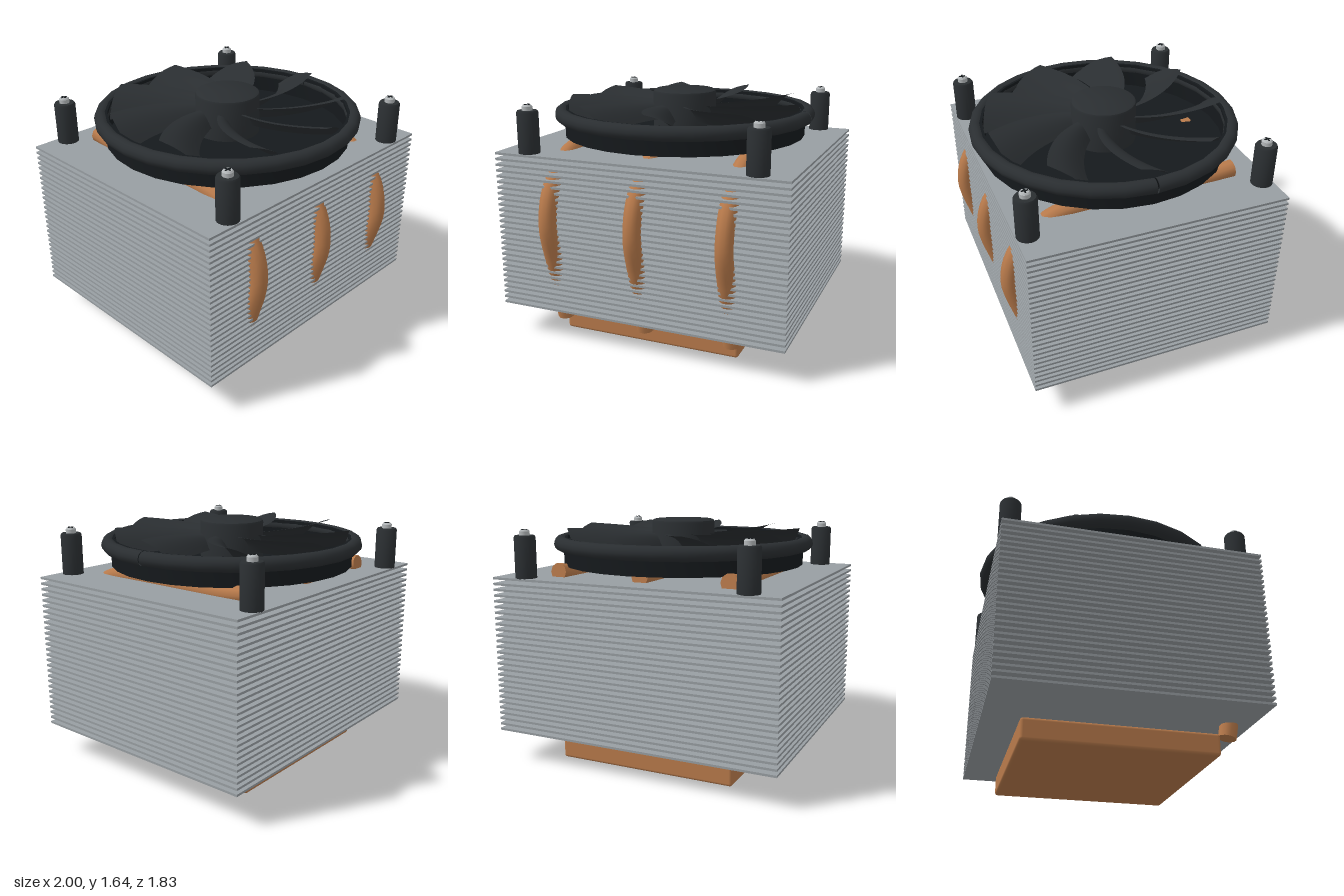
import * as THREE from 'three';
import { RoundedBoxGeometry } from 'three/addons/geometries/RoundedBoxGeometry.js';
import { toCreasedNormals } from 'three/addons/utils/BufferGeometryUtils.js';

const mat = (color) => new THREE.MeshStandardMaterial({ color, side: THREE.DoubleSide });
const copper = mat(0xb87a4b), finGrey = mat(0x989ea2), black = mat(0x2a2e31);
const dark = mat(0x15191c), steel = mat(0xb4b8ba);

const ZC = -0.0125; // shared centre of fins and fan along z

function add(parent, name, geometry, material, x = 0, y = 0, z = 0) {
  const mesh = new THREE.Mesh(geometry, material);
  mesh.name = name;
  mesh.position.set(x, y, z);
  parent.add(mesh);
  return mesh;
}

function lathe(points, segments) {
  const g = new THREE.LatheGeometry(points.map(([r, y]) => new THREE.Vector2(r, y)), segments);
  return toCreasedNormals(g, 0.6);
}

// Swept, pitched and slightly cambered blade as a grid of radius by chord
function bladeGeometry(nr = 12, nc = 6) {
  const pos = [], index = [], rad = Math.PI / 180;
  for (let i = 0; i <= nr; i++) {
    const t = i / nr;
    const r = 0.2 + 0.605 * t;
    const mid = 61 + 24 * t, width = 28 - 12 * t + 5.5 * t * t;
    for (let j = 0; j <= nc; j++) {
      const s = j / nc; // 0 = high edge, 1 = low edge
      const a = (mid + width * (s - 0.5)) * rad;
      const y = 1.55 + 0.04 * t - (0.1 + 0.05 * t) * s + 0.03 * Math.sin(Math.PI * s);
      pos.push(r * Math.cos(a), y, -r * Math.sin(a));
      if (i < nr && j < nc) {
        const k = i * (nc + 1) + j, m = k + nc + 1;
        index.push(k, m, k + 1, m, m + 1, k + 1);
      }
    }
  }
  const g = new THREE.BufferGeometry();
  g.setAttribute('position', new THREE.Float32BufferAttribute(pos, 3));
  g.setIndex(index);
  g.computeVertexNormals();
  return g;
}

function createFan() {
  const fan = new THREE.Group();
  fan.name = 'fan';
  fan.position.z = ZC;

  // Outer bead and shroud wall
  const bead = new THREE.TorusGeometry(0.853, 0.048, 12, 28, Math.PI * 2 - 0.01);
  bead.rotateX(-Math.PI / 2);
  add(fan, 'shroudBead', bead, black, 0, 1.49, 0);
  add(fan, 'shroudWall', lathe([
    [0.81, 1.345], [0.835, 1.345], [0.835, 1.53], [0.81, 1.53], [0.81, 1.345],
  ], 28), dark);
  add(fan, 'backPlate', new THREE.CylinderGeometry(0.815, 0.815, 0.02, 28), dark, 0, 1.355, 0);

  // Hub with softened top edge
  add(fan, 'hub', lathe([
    [0, 1.35], [0.218, 1.35], [0.218, 1.625], [0.213, 1.638], [0.2, 1.645], [0, 1.645],
  ], 40), black);

  // Nine blades
  const blade = bladeGeometry();
  for (let i = 0; i < 9; i++) {
    add(fan, 'blade', blade, black).rotation.y = (i * Math.PI * 2) / 9;
  }
  return fan;
}

// Bent copper pipe with capped ends, running up the front and over the top
function createPipe(x) {
  const pipe = new THREE.Group();
  pipe.name = 'heatPipe';
  const path = new THREE.CatmullRomCurve3([
    [0.675, 0.125], [0.72, 0.34], [0.8, 0.58], [0.857, 0.82], [0.815, 1.02],
    [0.705, 1.16], [0.56, 1.255], [0.4, 1.288], [0, 1.293], [-0.45, 1.293], [-0.67, 1.317],
  ].map(([z, y]) => new THREE.Vector3(x, y, z)));
  add(pipe, 'pipeBody', new THREE.TubeGeometry(path, 48, 0.059, 10), copper);
  for (const [t, dir] of [[0, -1], [1, 1]]) {
    const p = path.getPointAt(t);
    const cap = add(pipe, 'pipeEnd', new THREE.CircleGeometry(0.059, 10), copper, p.x, p.y, p.z);
    cap.lookAt(p.clone().addScaledVector(path.getTangentAt(t), dir));
  }
  return pipe;
}

// Standoff post with a cross-head screw
function createPost(x, z) {
  const post = new THREE.Group();
  post.name = 'mountingPost';
  post.position.set(x, 0, z);
  add(post, 'standoff', lathe([
    [0, 1.28], [0.071, 1.28], [0.071, 1.55], [0.064, 1.562], [0, 1.562],
  ], 24), black);
  add(post, 'screwHead', lathe([
    [0, 1.56], [0.034, 1.56], [0.034, 1.588], [0.026, 1.598], [0, 1.6],
  ], 20), steel);
  add(post, 'screwSlot', new THREE.BoxGeometry(0.042, 0.004, 0.01), dark, 0, 1.6, 0);
  add(post, 'screwSlot', new THREE.BoxGeometry(0.01, 0.004, 0.042), dark, 0, 1.6, 0);
  return post;
}

export function createModel() {
  const model = new THREE.Group();
  model.name = 'cpuCooler';

  // Contact block
  add(model, 'baseBlock', new RoundedBoxGeometry(1.265, 0.147, 1.27, 3, 0.02), copper, 0, 0.0735, -0.012);

  // Fin stack
  const fins = new THREE.Group();
  fins.name = 'finStack';
  const plate = new THREE.BoxGeometry(2, 0.015, 1.705);
  const count = 28;
  for (let i = 0; i < count; i++) {
    add(fins, 'fin', plate, finGrey, 0, 0.223 + (i * 1.052) / (count - 1), ZC);
  }
  model.add(fins);

  for (const x of [-0.61, 0, 0.61]) model.add(createPipe(x));
  for (const x of [-0.78, 0.78]) {
    for (const z of [-0.795, 0.765]) model.add(createPost(x, z));
  }
  model.add(createFan());
  return model;
}
